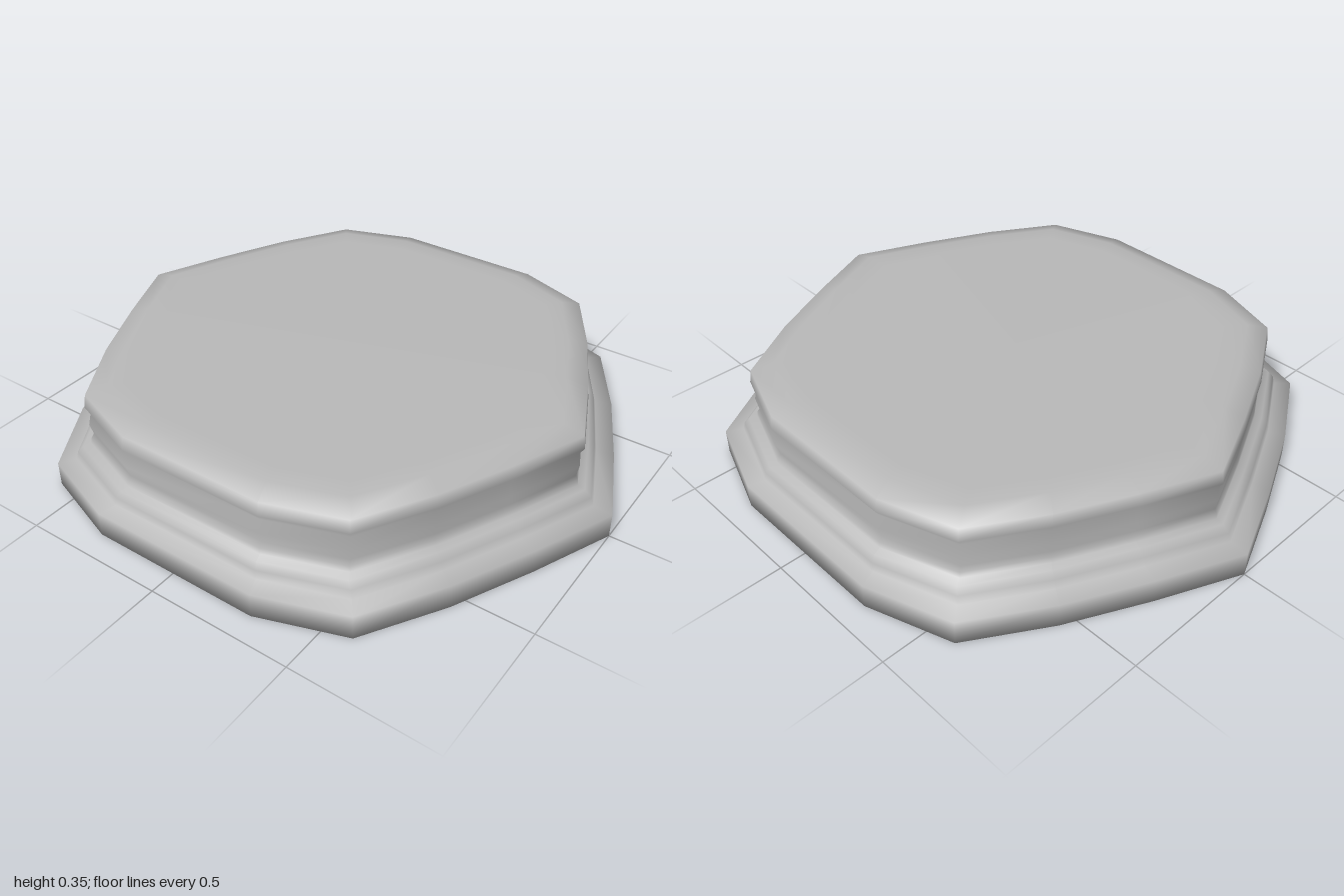
import * as THREE from 'three';

// One quarter of the plan outline, from the side point (+x) to the front edge (+z)
const QUARTER = [[1, 0], [0.88, 0.28], [0.75, 0.55], [0.59, 0.81], [0.3, 0.91]];

// Moulding profile from bottom to top: [x scale, z scale, height]
const PROFILE = [
  [1, 1, 0], [1, 1, 0.085],            // base slab
  [0.935, 0.94, 0.092], [0.925, 0.935, 0.12], [0.9, 0.92, 0.14], // step
  [0.875, 0.89, 0.145], [0.872, 0.888, 0.165], // bead
  [0.865, 0.875, 0.18], [0.872, 0.888, 0.22], [0.865, 0.875, 0.265], // neck
  [0.88, 0.893, 0.29], [0.873, 0.885, 0.335], // lip
  [0.8, 0.81, 0.355], [0.72, 0.73, 0.355],  // rounded edge and flat top
];

// Mirror the quarter into a closed loop running from +x towards +z
function fullOutline() {
  const half = [...QUARTER, ...QUARTER.slice(1).reverse().map(([x, z]) => [-x, z])];
  return [...half, [-1, 0], ...half.slice(1).reverse().map(([x, z]) => [x, -z])];
}

// Sweep the outline up the profile and close both ends, sharing all vertices
function plinthGeometry() {
  const outline = fullOutline();
  const n = outline.length;
  const positions = [];
  const index = [];
  for (const [sx, sz, y] of PROFILE) {
    for (const [x, z] of outline) positions.push(x * sx, y, z * sz);
  }
  const bottom = PROFILE.length * n;
  const top = bottom + 1;
  const last = (PROFILE.length - 1) * n;
  positions.push(0, 0, 0, 0, PROFILE[PROFILE.length - 1][2], 0);

  for (let i = 0; i < n; i++) {
    const j = (i + 1) % n;
    for (let k = 0; k < PROFILE.length - 1; k++) {
      const a = k * n + i, b = k * n + j, c = a + n, d = b + n;
      index.push(a, c, b, b, c, d);
    }
    index.push(bottom, i, j);
    index.push(top, last + j, last + i);
  }

  const geometry = new THREE.BufferGeometry();
  geometry.setAttribute('position', new THREE.Float32BufferAttribute(positions, 3));
  geometry.setIndex(index);
  geometry.computeVertexNormals();
  return geometry;
}

export function createModel() {
  const group = new THREE.Group();
  group.name = 'mouldedPlinth';
  const stone = new THREE.MeshStandardMaterial({ color: 0xb8b8b8 });
  stone.name = 'grey stone';
  const plinth = new THREE.Mesh(plinthGeometry(), stone);
  plinth.name = 'plinth';
  group.add(plinth);
  return group;
}
